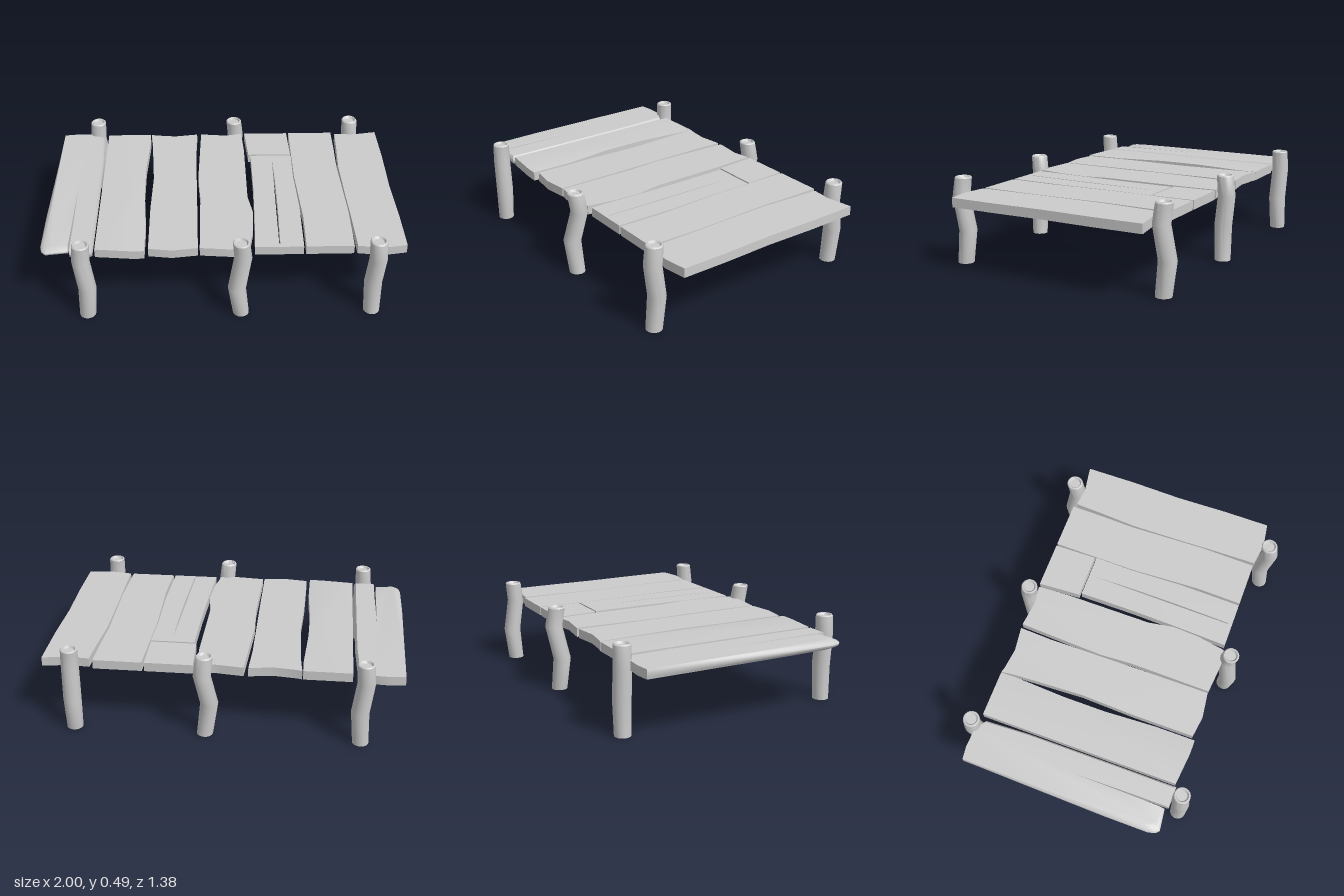
import * as THREE from 'three';
import { toCreasedNormals } from 'three/addons/utils/BufferGeometryUtils.js';

const material = new THREE.MeshStandardMaterial({ color: 0xcccccc });
const BOTTOM = 0.357, THICK = 0.052;
const toV = ([x, z]) => new THREE.Vector2(x, -z);

// Plank from an (x, z) outline; bend(p, t) may move vertices, t = 0 bottom .. 1 top
function plank(name, outline, { hole, bend } = {}) {
  const shape = new THREE.Shape(outline.map(toV));
  if (hole) shape.holes.push(new THREE.Path(hole.map(toV)));
  const geo = new THREE.ExtrudeGeometry(shape, { depth: THICK, steps: bend ? 6 : 1, bevelEnabled: false });
  geo.rotateX(-Math.PI / 2);
  if (bend) {
    const pos = geo.attributes.position, p = new THREE.Vector3();
    for (let i = 0; i < pos.count; i++) {
      p.fromBufferAttribute(pos, i);
      bend(p, p.y / THICK);
      pos.setXYZ(i, p.x, p.y, p.z);
    }
  }
  geo.translate(0, BOTTOM, 0);
  const mesh = new THREE.Mesh(toCreasedNormals(geo, 0.6), material);
  mesh.name = name;
  return mesh;
}

// Worn edge of the end plank: top and bottom pull inward, more toward the front
function roundEnd(p, t) {
  const s = (2 * t - 1) ** 2, wear = THREE.MathUtils.clamp((p.z + 0.65) / 1.2, 0, 1);
  if (p.x < -0.96) p.x += 0.03 * wear * s;
  if (p.z > 0.5) p.z -= (p.x < -0.84 ? 0.035 : 0.012) * s;
  if (p.x > -0.73) p.x -= 0.012 * s;
}

// Slightly lifted middle of one plank edge
function liftEdge(p, t) {
  if (p.x > -0.46 && Math.abs(p.z) < 0.3 && t > 0.9) p.y += 0.007;
}

// Bent post: a lathed log with a hollowed top, each height shifted sideways
function post(bends) {
  const profile = [[0, 0], [0.045, 0], [0.05, 0.19], [0.049, 0.375], [0.047, 0.484],
    [0.042, 0.49], [0.037, 0.49], [0.029, 0.478], [0, 0.478]];
  const geo = new THREE.LatheGeometry(profile.map(([r, y]) => new THREE.Vector2(r, y)), 18);
  const pos = geo.attributes.position;
  for (let i = 0; i < pos.count; i++) {
    const y = pos.getY(i);
    let k = 0;
    while (k < bends.length - 2 && y > bends[k + 1][0]) k++;
    const a = bends[k], b = bends[k + 1], t = (y - a[0]) / (b[0] - a[0]);
    pos.setX(i, pos.getX(i) + THREE.MathUtils.lerp(a[1], b[1], t));
    pos.setZ(i, pos.getZ(i) + THREE.MathUtils.lerp(a[2], b[2], t));
  }
  return toCreasedNormals(geo, 0.6);
}

export function createModel() {
  const group = new THREE.Group();
  group.name = 'plankPlatform';

  // Deck, from the model's right (-x) to its left (+x)
  const deck = new THREE.Group();
  deck.name = 'deck';
  deck.add(
    plank('splitEndPlank', [[-0.98, -0.595], [-0.9, -0.605], [-0.8, -0.6], [-0.725, -0.56], [-0.712, -0.3],
      [-0.71, 0.2], [-0.71, 0.575], [-0.835, 0.575], [-0.836, 0.3], [-0.84, 0.01], [-0.843, 0.3],
      [-0.847, 0.555], [-0.97, 0.57], [-0.99, 0.55], [-1, 0.51], [-1, 0.25], [-0.99, -0.2]], { bend: roundEnd }),
    plank('plank2', [[-0.7, -0.59], [-0.435, -0.59], [-0.432, -0.5], [-0.448, -0.2], [-0.448, 0.05],
      [-0.43, 0.35], [-0.43, 0.585], [-0.5, 0.585], [-0.7, 0.565]], { bend: liftEdge }),
    plank('plank3', [[-0.43, -0.59], [-0.4, -0.582], [-0.28, -0.568], [-0.14, -0.587], [-0.147, -0.4],
      [-0.142, 0.2], [-0.14, 0.565], [-0.28, 0.583], [-0.41, 0.565], [-0.41, 0.2], [-0.4, -0.1], [-0.42, -0.5]]),
    plank('plank4', [[-0.115, -0.588], [0, -0.575], [0.04, -0.57], [0.14, -0.588], [0.15, -0.4], [0.15, 0.1],
      [0.175, 0.25], [0.168, 0.4], [0.14, 0.57], [0.06, 0.583], [-0.13, 0.565], [-0.124, 0.1], [-0.135, -0.1]]),
    plank('shortPlank', [[0.16, -0.59], [0.428, -0.59], [0.433, -0.345], [0.175, -0.345]]),
    plank('slitPlank', [[0.188, -0.333], [0.436, -0.333], [0.432, -0.1], [0.443, 0.2], [0.437, 0.565],
      [0.17, 0.565], [0.182, 0.25], [0.188, 0]],
    { hole: [[0.317, -0.3], [0.31, 0.1], [0.303, 0.54], [0.309, 0.54], [0.318, 0.2], [0.32, -0.05]] }),
    plank('plank6', [[0.441, -0.59], [0.712, -0.59], [0.71, -0.4], [0.704, -0.2], [0.718, 0.25], [0.712, 0.565],
      [0.45, 0.565], [0.456, 0.3], [0.442, 0], [0.437, -0.1]]),
    plank('endPlank', [[0.735, -0.575], [0.85, -0.566], [0.995, -0.59], [0.998, -0.3], [0.992, 0], [1, 0.3],
      [1, 0.565], [0.87, 0.585], [0.73, 0.565], [0.726, 0.3], [0.72, 0.1], [0.715, -0.2], [0.727, -0.4]]),
  );
  group.add(deck);

  // Three pairs of posts; bends are [height, x shift, z shift]
  const pairs = [
    ['right', -0.764, [[0, 0.004, 0], [0.19, 0.015, 0.003], [0.375, -0.008, -0.003], [0.49, 0, 0]]],
    ['middle', 0.093, [[0, 0.002, 0.005], [0.19, -0.022, 0.016], [0.375, 0.012, -0.016], [0.49, 0, 0]]],
    ['left', 0.829, [[0, 0, 0.002], [0.19, -0.003, -0.018], [0.375, 0.005, 0.014], [0.49, 0, 0]]],
  ];
  for (const [side, x, bends] of pairs) {
    const geo = post(bends);
    for (const [end, z] of [['Front', 0.622], ['Back', -0.622]]) {
      const mesh = new THREE.Mesh(geo, material);
      mesh.name = `${side}${end}Post`;
      mesh.position.set(x, 0, z);
      group.add(mesh);
    }
  }
  return group;
}
